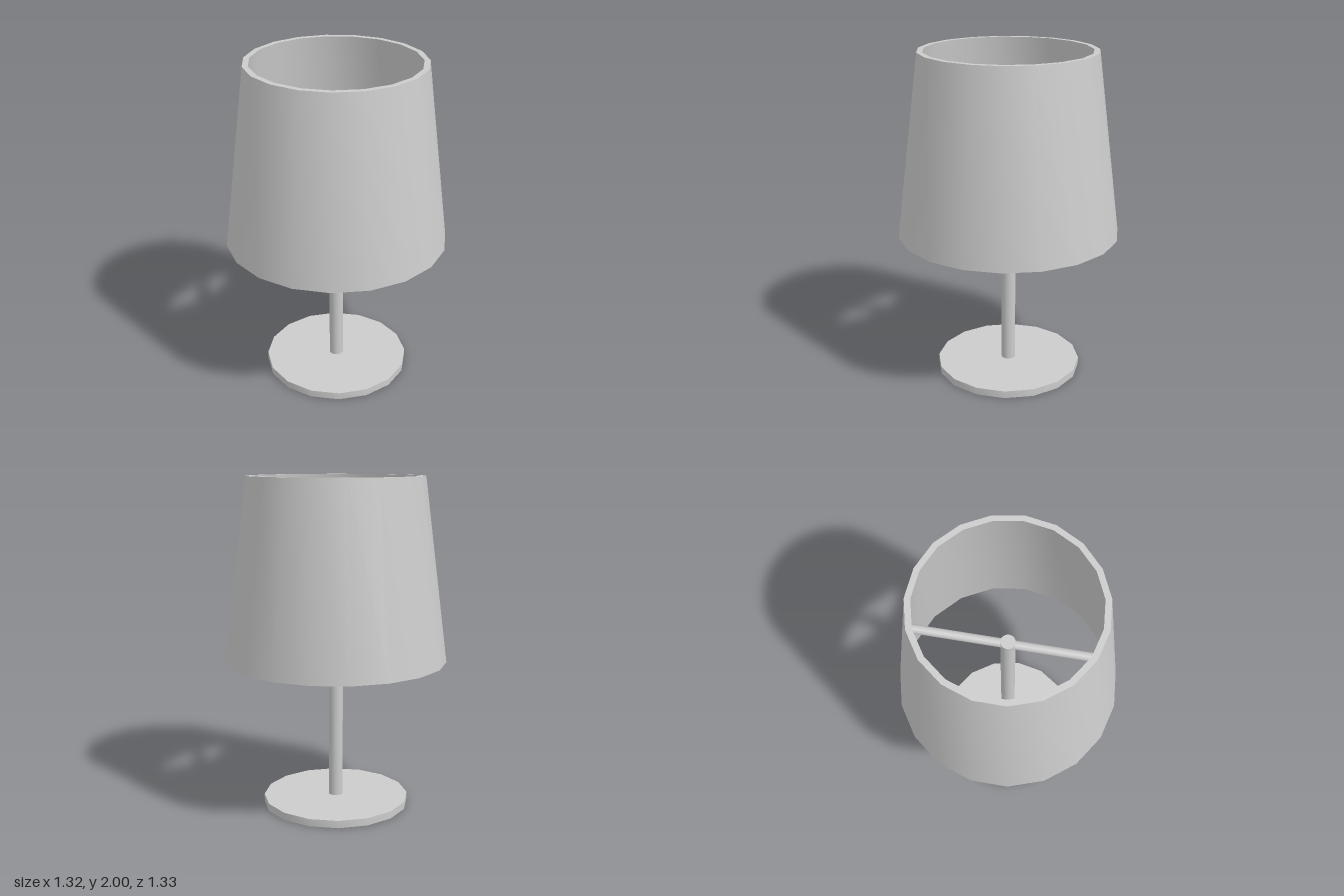
import * as THREE from 'three';
import { toCreasedNormals } from 'three/addons/utils/BufferGeometryUtils.js';

const CENTRE_X = -0.007;
const ARM_Y = 1.5;

export function createModel() {
  const lamp = new THREE.Group();
  lamp.name = 'tableLamp';
  const material = new THREE.MeshStandardMaterial({ color: 0xcccccc });

  function add(name, geometry, y = 0) {
    const mesh = new THREE.Mesh(geometry, material);
    mesh.name = name;
    mesh.position.set(CENTRE_X, y, 0);
    lamp.add(mesh);
    return mesh;
  }

  // Revolves a closed [radius, height] profile, with a corner on +x
  function ring(profile, sides) {
    const points = [...profile, profile[0]].map(([r, y]) => new THREE.Vector2(r, y));
    return toCreasedNormals(new THREE.LatheGeometry(points, sides, Math.PI / 2), Math.PI / 4);
  }

  // Disc foot with a hole for the pole
  add('base', ring([[0.445, 0], [0.445, 0.045], [0.042, 0.045], [0.042, 0]], 16));

  // Upright pole, its lower end slightly recessed in the foot
  const poleBottom = 0.01, poleTop = ARM_Y + 0.03;
  add('pole', new THREE.CylinderGeometry(0.043, 0.043, poleTop - poleBottom, 24),
    (poleBottom + poleTop) / 2);

  // Crossbar that carries the shade
  const arm = add('shadeCrossbar', new THREE.CylinderGeometry(0.026, 0.026, 1.12, 16), ARM_Y);
  arm.rotation.x = Math.PI / 2;

  // Tapered, open shade with a thick wall
  add('lampshade', ring([[0.667, 0.905], [0.525, 2], [0.491, 2], [0.628, 0.905]], 19));

  return lamp;
}
